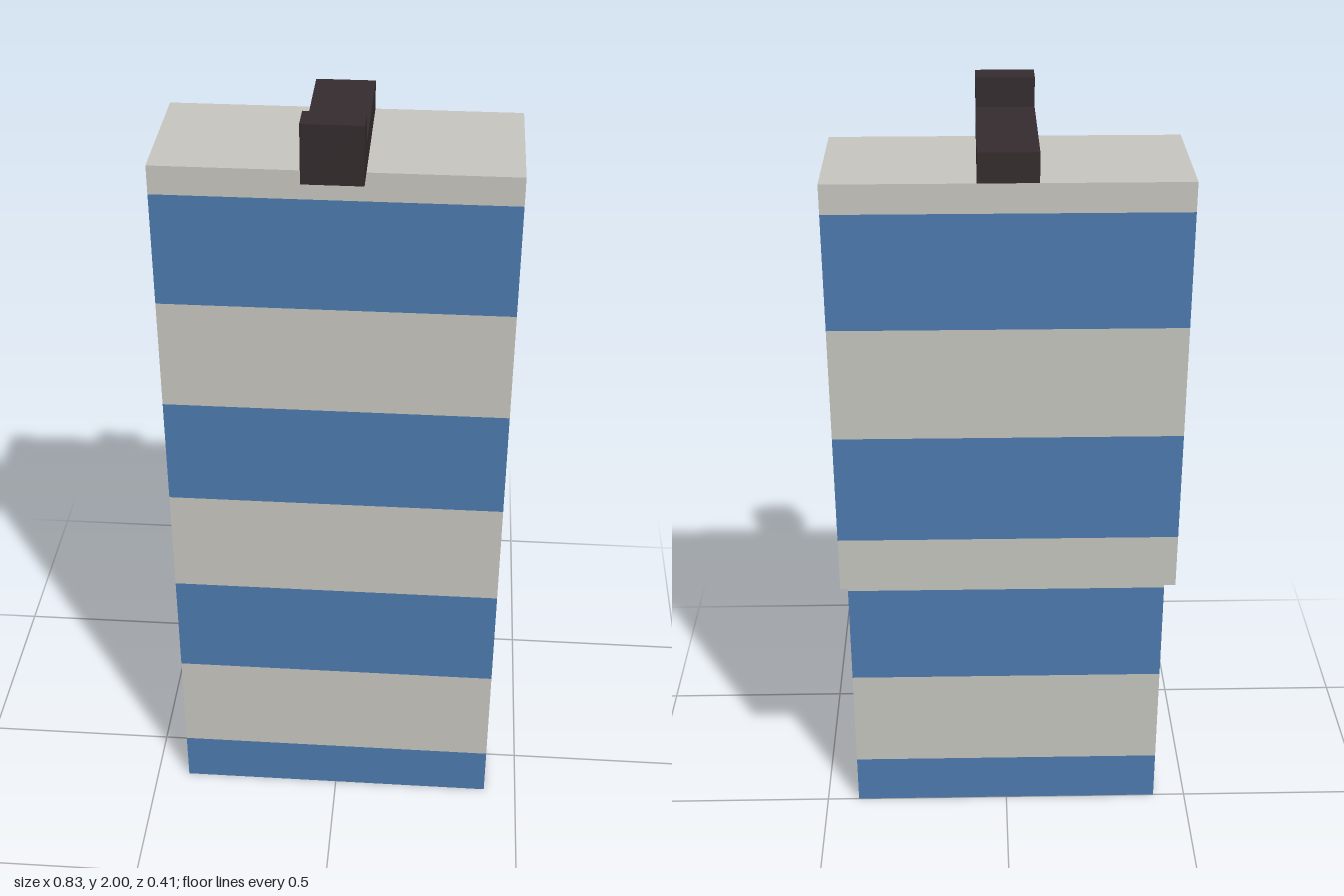
import * as THREE from 'three';

const U = 2 / 29; // module unit: the model is 29 units tall

export function createModel() {
  const blue = new THREE.MeshStandardMaterial({ color: 0x4d7bb0 });
  blue.name = 'blueStripe';
  const grey = new THREE.MeshStandardMaterial({ color: 0xc8c7c1 });
  grey.name = 'paleGreyStripe';
  const dark = new THREE.MeshStandardMaterial({ color: 0x352c2e });
  dark.name = 'darkHanger';

  // Box between unit coordinates, centred on x
  function block(name, material, width, y0, y1, z0, z1) {
    const geometry = new THREE.BoxGeometry(width * U, (y1 - y0) * U, (z1 - z0) * U);
    const mesh = new THREE.Mesh(geometry, material);
    mesh.name = name;
    mesh.position.set(0, (y0 + y1) / 2 * U, (z0 + z1) / 2 * U);
    return mesh;
  }

  // Hanging cloth panel made of stacked alternating stripes
  function panel(name, heights, firstIsBlue, z0, z1) {
    const group = new THREE.Group();
    group.name = name;
    for (let i = 0; i < heights.length - 1; i++) {
      const isBlue = (i % 2 === 0) === firstIsBlue;
      group.add(block(isBlue ? 'blueStripe' : 'greyStripe', isBlue ? blue : grey,
        12, heights[i], heights[i + 1], z0, z1));
    }
    return group;
  }

  const model = new THREE.Group();
  model.name = 'hangingStripedTowel';
  model.add(
    panel('frontPanel', [0, 2, 6, 10, 14, 18, 22, 26], true, 0, 2),
    panel('backPanel', [12, 14, 18, 22, 26], false, -3, -1),
    block('topFold', grey, 12, 26, 27, -3, 2),
    // Hanger bar lying on the fold, with an upright end at the front
    block('hangerBar', dark, 2, 27, 28, -3, 2),
    block('hangerEnd', dark, 2, 27, 29, 2, 3),
  );
  return model;
}
